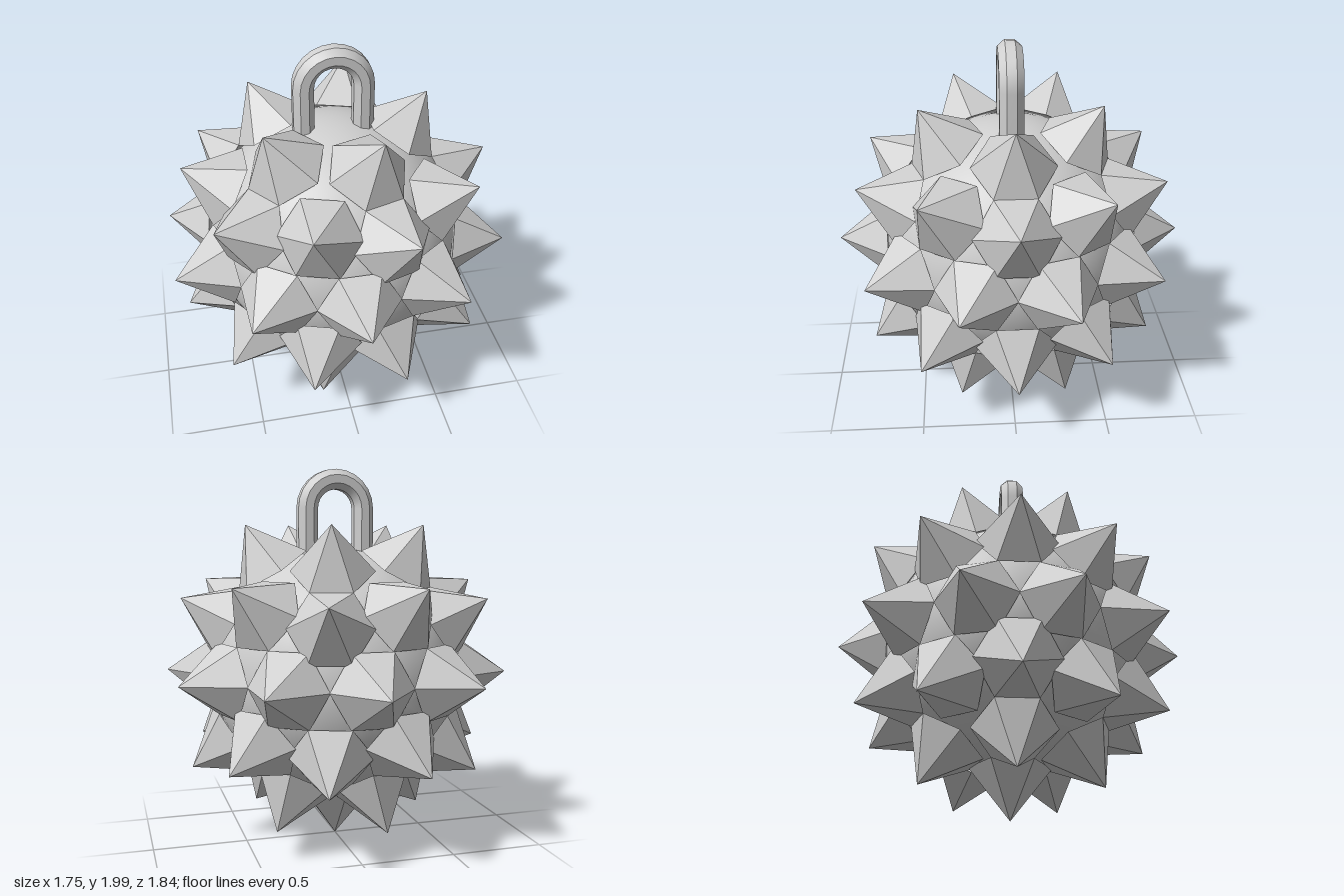
import * as THREE from 'three';

const CENTER_Y = 0.926;
const BODY_R = 0.66;
const BASE_DIST = 0.65; // distance of each spike base from the centre
const BASE_R = 0.214;
const TIP_DIST = 0.92;

export function createModel() {
  const group = new THREE.Group();
  const grey = new THREE.MeshStandardMaterial({ color: 0xd0d0d0 });
  grey.name = 'light grey';

  const add = (name, geometry, y) => {
    const mesh = new THREE.Mesh(geometry, grey);
    mesh.name = name;
    mesh.position.y = y;
    group.add(mesh);
    return mesh;
  };

  // Round body, seen between the spikes and under the loop
  add('body', new THREE.SphereGeometry(BODY_R, 48, 32), CENTER_Y);

  // Spike directions: icosahedron corners, one pointing up, and its edge midpoints
  const corners = [new THREE.Vector3(0, 1, 0), new THREE.Vector3(0, -1, 0)];
  for (let i = 0; i < 10; i++) {
    const a = (i * Math.PI) / 5;
    corners.push(new THREE.Vector3(2 * Math.cos(a), i % 2 ? -1 : 1, 2 * Math.sin(a)).normalize());
  }
  const midpoints = [];
  corners.forEach((a, i) => corners.slice(i + 1).forEach((b) => {
    if (a.dot(b) > 0.4) midpoints.push(a.clone().add(b).normalize());
  }));

  // Six-sided spikes, two base corners level with the ground; none at the top
  const height = TIP_DIST - BASE_DIST;
  const spikeGeo = new THREE.ConeGeometry(BASE_R, height, 6)
    .translate(0, BASE_DIST + height / 2, 0)
    .toNonIndexed();
  spikeGeo.computeVertexNormals();
  const up = new THREE.Vector3(0, 1, 0);
  for (const dir of [...corners.slice(1), ...midpoints]) {
    const level = new THREE.Vector3().crossVectors(up, dir);
    if (level.length() < 0.01) level.set(0, 0, 1);
    level.normalize();
    const side = new THREE.Vector3().crossVectors(dir, level);
    const spike = add('spike', spikeGeo, CENTER_Y);
    spike.quaternion.setFromRotationMatrix(new THREE.Matrix4().makeBasis(side, dir, level));
  }

  // Hanging loop: eight-sided section swept along an upside-down U
  const archY = 1.795, archR = 0.152, steps = 12, footY = 1.53;
  const path = [{ x: archR, y: footY, a: 0 }];
  for (let i = 0; i <= steps; i++) {
    const a = (i / steps) * Math.PI;
    path.push({ x: archR * Math.cos(a), y: archY + archR * Math.sin(a), a });
  }
  path.push({ x: -archR, y: footY, a: Math.PI });

  // Each of the eight sides is its own strip: smooth along, sharp across
  const pos = [], idx = [], sides = 8;
  for (let j = 0; j < sides; j++) {
    path.forEach(({ x, y, a }, i) => {
      const p = pos.length / 3;
      for (const k of [j - 0.5, j + 0.5]) {
        const t = (k / sides) * 2 * Math.PI;
        const r = 0.057 * Math.cos(t);
        pos.push(x + r * Math.cos(a), y + r * Math.sin(a), 0.0665 * Math.sin(t));
      }
      if (i < path.length - 1) idx.push(p, p + 2, p + 1, p + 1, p + 2, p + 3);
    });
  }
  const loopGeo = new THREE.BufferGeometry();
  loopGeo.setAttribute('position', new THREE.Float32BufferAttribute(pos, 3));
  loopGeo.setIndex(idx);
  loopGeo.computeVertexNormals();
  add('hangingLoop', loopGeo, 0);

  return group;
}
